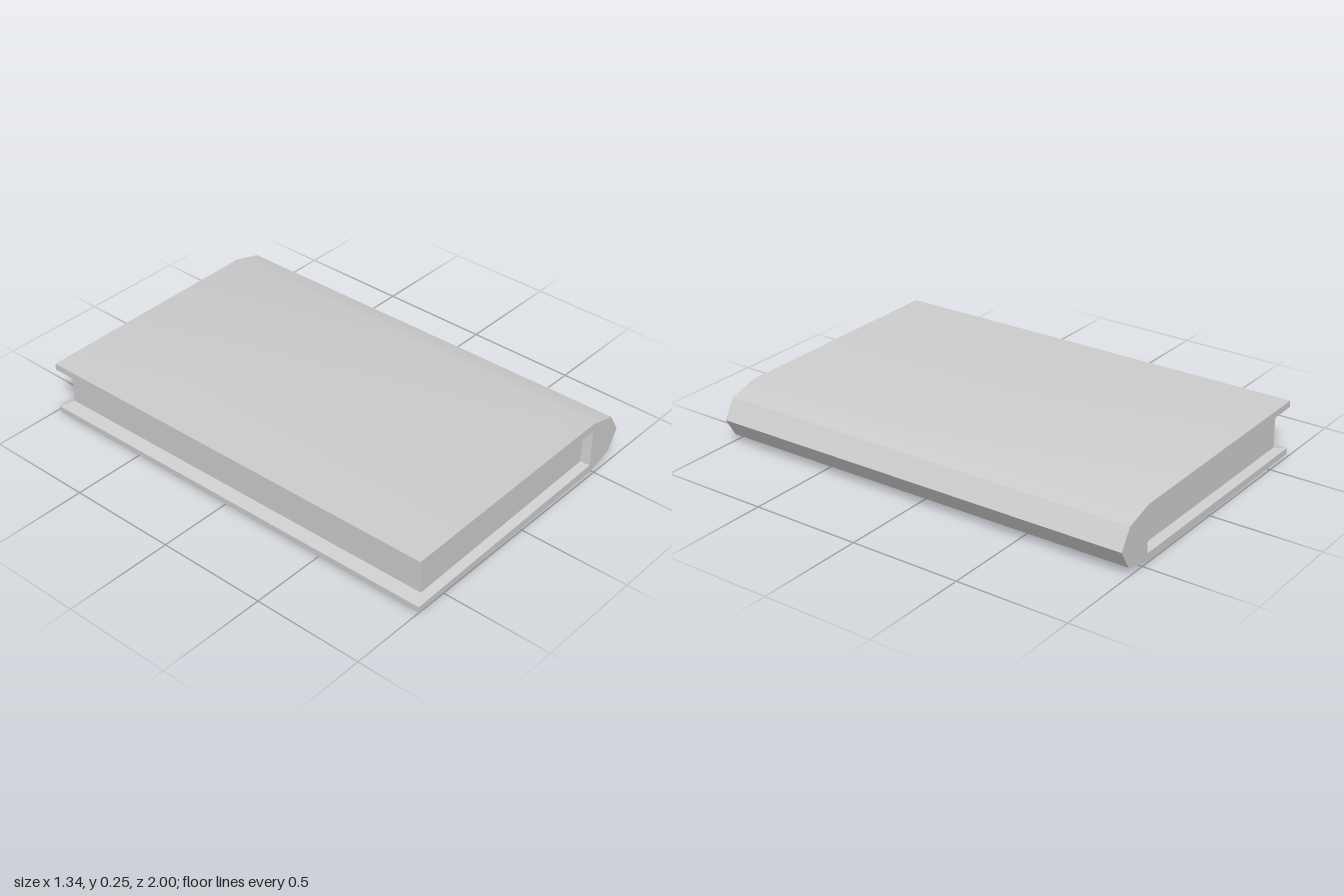
import * as THREE from 'three';
import { toCreasedNormals } from 'three/addons/utils/BufferGeometryUtils.js';

const HALF = 0.9925; // half length of the covers
const PAGE = 0.957;  // half length of the page block

// Cover outline from the lower cover edge, round the pointed spine, to the upper one
const outer = [[-0.66, 0], [0.474, 0], [0.607, 0.038], [0.66, 0.125], [0.607, 0.212], [0.474, 0.25], [-0.66, 0.25]];
// Inside edge of the covers, and the page block it slopes towards
const inner = [[-0.66, 0.22], [0.474, 0.212], [0.474, 0.038], [-0.66, 0.028]];
const block = [[-0.604, 0.205], [0.456, 0.199], [0.456, 0.053], [-0.604, 0.043]];

// Collects quads and triangles, then makes a mesh with sharp creases
function builder() {
  const pos = [];
  const tri = (...pts) => pts.forEach((p) => pos.push(...p));
  const quad = (a, b, c, d) => { tri(a, b, c); tri(a, c, d); };
  const mesh = (name, material) => {
    const geometry = new THREE.BufferGeometry();
    geometry.setAttribute('position', new THREE.Float32BufferAttribute(pos, 3));
    const m = new THREE.Mesh(toCreasedNormals(geometry, 0.35), material);
    m.name = name;
    return m;
  };
  return { tri, quad, mesh };
}

const at = (p, z) => [p[0], p[1], z];

export function createModel() {
  const grey = new THREE.MeshStandardMaterial({ color: 0xcccccc });
  grey.name = 'grey';

  // Cover: two boards and the spine
  const cover = builder();
  const outline = [...outer, ...inner];
  const strip = (p, q, zp, zq) => cover.quad(at(p, zp), at(p, -zp), at(q, -zq), at(q, zq));
  for (let i = 0; i < outer.length; i++) strip(outline[i], outline[i + 1], HALF, HALF);
  strip(inner[3], outer[0], HALF, HALF);

  // End faces of the cover
  const contour = outline.map((p) => new THREE.Vector2(...p));
  for (const [a, b, c] of THREE.ShapeUtils.triangulateShape(contour, [])) {
    cover.tri(at(outline[a], HALF), at(outline[b], HALF), at(outline[c], HALF));
    cover.tri(at(outline[c], -HALF), at(outline[b], -HALF), at(outline[a], -HALF));
  }

  // Sloping insides at both ends and along the open edge
  for (let i = 0; i < 3; i++) {
    const [p, q, r, s] = [inner[i], block[i], block[i + 1], inner[i + 1]];
    cover.quad(at(p, HALF), at(q, PAGE), at(r, PAGE), at(s, HALF));
    cover.quad(at(s, -HALF), at(r, -PAGE), at(q, -PAGE), at(p, -HALF));
  }
  strip(inner[0], block[0], HALF, PAGE);
  strip(block[3], inner[3], PAGE, HALF);

  // Page block: both ends and the open edge
  const pages = builder();
  const [tl, tr, br, bl] = block;
  pages.quad(at(bl, PAGE), at(br, PAGE), at(tr, PAGE), at(tl, PAGE));
  pages.quad(at(tl, -PAGE), at(tr, -PAGE), at(br, -PAGE), at(bl, -PAGE));
  pages.quad(at(tl, PAGE), at(tl, -PAGE), at(bl, -PAGE), at(bl, PAGE));

  // The book lies slightly turned
  const book = new THREE.Group();
  book.name = 'book';
  book.add(cover.mesh('cover', grey), pages.mesh('pages', grey));
  book.rotation.y = 0.011;

  const model = new THREE.Group();
  model.add(book);
  return model;
}
